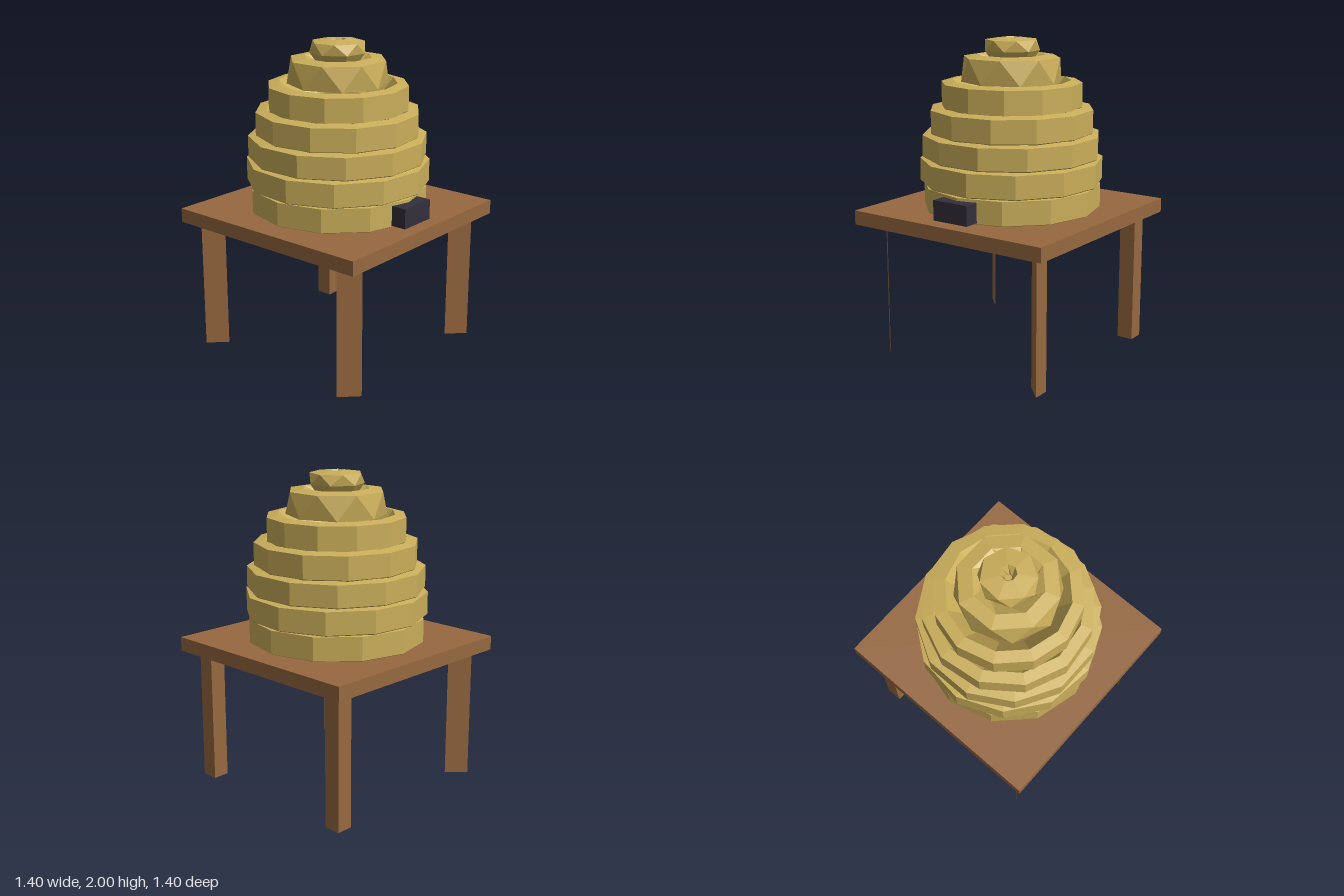
import * as THREE from 'three';

const mat = (color) => new THREE.MeshStandardMaterial({ color, flatShading: true, side: THREE.DoubleSide });
const straw = mat(0xcaae5a);
const wood = mat(0x966840);
const dark = mat(0x332e3c);

function add(parent, name, geometry, material, x = 0, y = 0, z = 0) {
  const mesh = new THREE.Mesh(geometry, material);
  mesh.name = name;
  mesh.position.set(x, y, z);
  parent.add(mesh);
  return mesh;
}

// Closed ring from a list of [radius, height]; points above twistY turn by half a side
function ringGeometry(section, sides, turn, twistY = Infinity) {
  const points = [...section, section[0]].map(([r, y]) => new THREE.Vector2(r, y));
  const geometry = new THREE.LatheGeometry(points, sides, THREE.MathUtils.degToRad(turn));
  const p = geometry.attributes.position;
  const v = new THREE.Vector3();
  for (let i = 0; i < p.count; i++) {
    v.fromBufferAttribute(p, i);
    if (v.y > twistY) v.applyAxisAngle(THREE.Object3D.DEFAULT_UP, Math.PI / sides);
    p.setXYZ(i, v.x, v.y, v.z);
  }
  geometry.computeVertexNormals();
  return geometry;
}

// Upright prism over an outline of [x, z] corners
function prism(corners, height) {
  const shape = new THREE.Shape(corners.map(([x, z]) => new THREE.Vector2(x, -z)));
  return new THREE.ExtrudeGeometry(shape, { depth: height, bevelEnabled: false }).rotateX(-Math.PI / 2);
}

export function createModel() {
  const model = new THREE.Group();
  model.name = 'beehiveOnTable';

  // Table
  const table = new THREE.Group();
  table.name = 'table';
  model.add(table);
  add(table, 'tableTop', new THREE.BoxGeometry(1.4, 0.09, 1.4), wood, 0, 0.895, 0);

  // Legs: one square, one triangular and two thin diagonal boards
  const h = 0.053, c = 0.562, legHeight = 0.85;
  const square = prism([[-h, -h], [-h, h], [h, h], [h, -h]], legHeight);
  const triangle = prism([[-h, -h], [h, h], [h, -h]], legHeight);
  const board = new THREE.PlaneGeometry(2 * h * Math.SQRT2, legHeight)
    .rotateY(-Math.PI / 4).translate(0, legHeight / 2, 0);
  add(table, 'backLeftLeg', square, wood, c, 0, -c);
  add(table, 'frontLeftLeg', triangle, wood, c, 0, c);
  add(table, 'backRightLeg', board, wood, -c, 0, -c);
  add(table, 'frontRightLeg', board, wood, -c, 0, c);

  // Straw coils, each turned a little against the one below
  const hive = new THREE.Group();
  hive.name = 'hive';
  model.add(hive);
  const coils = [ // radius, bottom, top, turn
    [0.56, 0.945, 1.097, 0],
    [0.575, 1.108, 1.255, 8],
    [0.56, 1.27, 1.41, 15],
    [0.515, 1.422, 1.57, -8],
    [0.44, 1.575, 1.73, 0],
  ];
  for (const [r, y0, y1, turn] of coils) {
    const section = [[r - 0.012, y0 - 0.008], [r, y0], [r, y1 - 0.005], [r - 0.07, y1 + 0.008], [r - 0.17, y0 + 0.04], [r - 0.17, y0 - 0.008]];
    add(hive, 'strawCoil', ringGeometry(section, 12, turn), straw);
  }

  // Upper coils with fewer sides and a twisted rim
  add(hive, 'upperCoil', ringGeometry(
    [[0.315, 1.73], [0.305, 1.88], [0.215, 1.895], [0.13, 1.83], [0.13, 1.73]], 8, 0, 1.85), straw);
  add(hive, 'crownCoil', ringGeometry(
    [[0.14, 1.87], [0.175, 1.92], [0.165, 1.985], [0.05, 2.0], [0.02, 1.93]], 7, 20, 1.95), straw);

  // Entrance block
  add(model, 'entrance', new THREE.BoxGeometry(0.25, 0.125, 0.1), dark, 0, 1.012, 0.575);

  return model;
}
